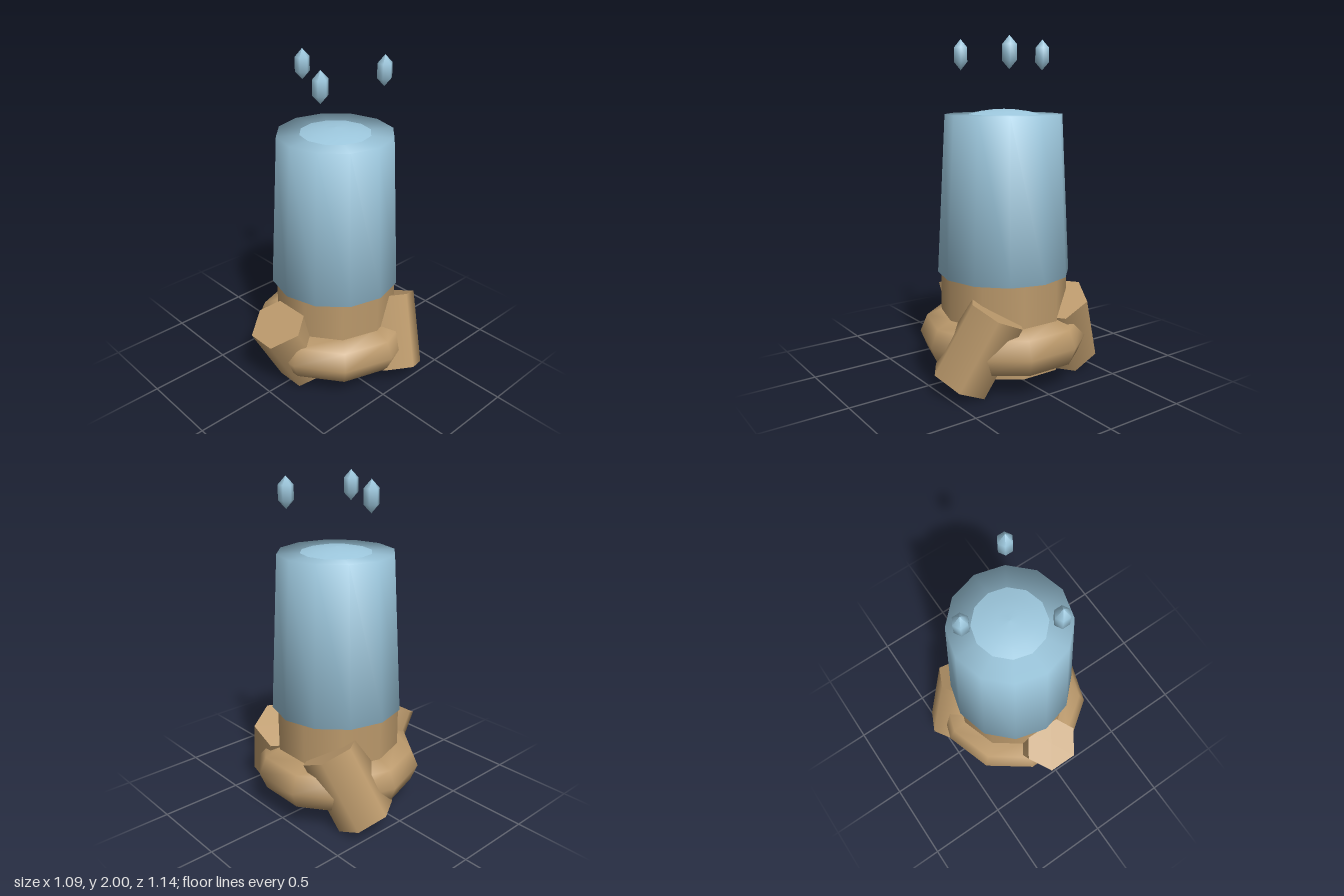
import * as THREE from 'three';

const brown = new THREE.MeshStandardMaterial({ color: 0xbc9a6c });
brown.name = 'wood brown';
const blue = new THREE.MeshStandardMaterial({ color: 0x9ec9df });
blue.name = 'ice blue';

// Smooth turned solid from [radius, height] pairs, listed upwards
function turned(points, sides) {
  const geometry = new THREE.LatheGeometry(points.map(([r, y]) => new THREE.Vector2(r, y)), sides);
  geometry.normalizeNormals();
  return geometry;
}

export function createModel() {
  const model = new THREE.Group();
  const head = new THREE.Group();
  head.name = 'staffHead';
  head.position.x = 0.057;
  model.add(head);

  const add = (name, geometry, material) => {
    const mesh = new THREE.Mesh(geometry, material);
    mesh.name = name;
    head.add(mesh);
    return mesh;
  };

  // Wooden core with a shallow rounded underside
  add('trunk', new THREE.CylinderGeometry(0.378, 0.378, 0.56, 10), brown).position.y = 0.37;
  add('underside', turned([[0, 0.03], [0.12, 0.037], [0.22, 0.055], [0.31, 0.095]], 12), brown);

  // Thick ring around the core
  const ring = new THREE.TorusGeometry(0.365, 0.145, 8, 10);
  ring.rotateZ(Math.PI / 10);
  ring.rotateX(Math.PI / 2);
  add('ring', ring, brown).position.y = 0.25;

  // Three leaning six-sided stubs
  const stub = new THREE.CylinderGeometry(0.18, 0.18, 0.456, 6);
  for (let i = 0; i < 3; i++) {
    const a = Math.PI / 3 + (i * Math.PI * 2) / 3;
    const mesh = add('rootStub', stub, brown);
    mesh.position.set(0.365 * Math.cos(a) + 0.008, 0.276, 0.363 * Math.sin(a));
    mesh.rotation.set(-0.49 * Math.sin(a), 0, -0.49 * Math.cos(a));
  }

  // Tapered column with a low dome rising through its top
  add('column', turned([[0, 0.635], [0.395, 0.635], [0.344, 1.57], [0, 1.57]], 12), blue);
  add('dome', turned([[0.222, 1.567], [0.145, 1.586], [0.07, 1.596], [0, 1.6]], 12), blue);

  // Floating crystals
  const crystal = turned([[0, -0.09], [0.044, -0.042], [0.044, 0.042], [0, 0.09]], 6);
  for (let i = 0; i < 3; i++) {
    const a = -Math.PI / 2 + (i * Math.PI * 2) / 3;
    add('crystal', crystal, blue).position.set(0.28 * Math.cos(a), 1.91, 0.28 * Math.sin(a));
  }
  return model;
}
